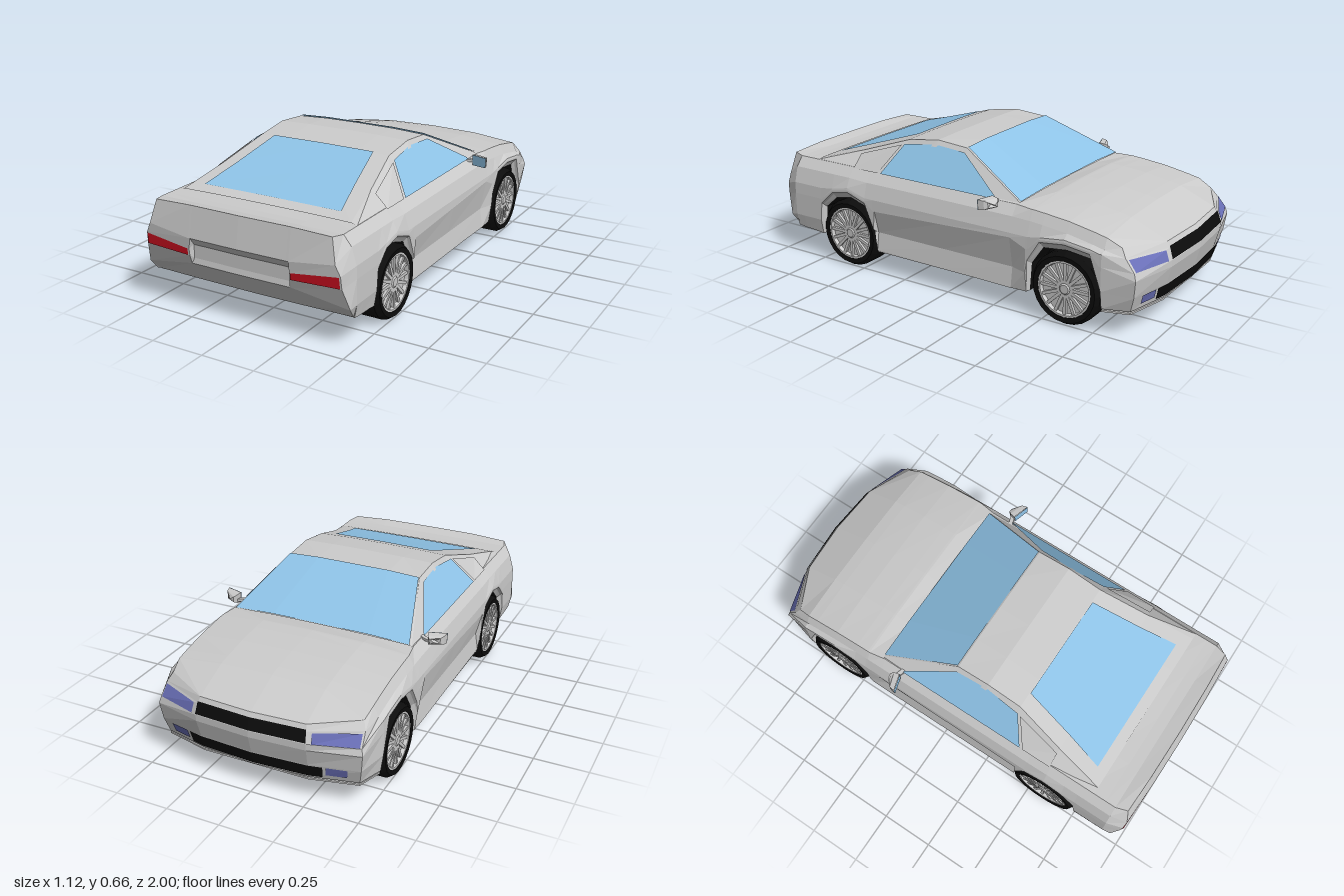
import * as THREE from 'three';

const mat = (color) => new THREE.MeshStandardMaterial({ color, flatShading: true, side: THREE.DoubleSide });
const lerp = (a, b, t) => a + (b - a) * t;
const flip = (p) => [-p[0], p[1], p[2]];

// Surface through a grid of points
function grid(rows) {
  const v = [];
  for (let i = 0; i + 1 < rows.length; i++)
    for (let j = 0; j + 1 < rows[i].length; j++) {
      const a = rows[i][j], b = rows[i + 1][j], c = rows[i + 1][j + 1], d = rows[i][j + 1];
      v.push(...a, ...b, ...c, ...a, ...c, ...d);
    }
  const g = new THREE.BufferGeometry();
  g.setAttribute('position', new THREE.Float32BufferAttribute(v, 3));
  g.computeVertexNormals();
  return g;
}

export function createModel() {
  const car = new THREE.Group();
  const grey = mat(0xcccccc), black = mat(0x0c0c0c), glass = mat(0x8fc4e8), red = mat(0xd01020), lamp = mat(0x6a70b8);

  const add = (name, geo, material, parent = car) => {
    const m = new THREE.Mesh(geo, material);
    m.name = name;
    parent.add(m);
    return m;
  };
  const pair = (name, rows, material) => {
    add('left' + name, grid(rows), material);
    add('right' + name, grid(rows.map((r) => r.map(flip).reverse())), material);
  };

  // Columns of the outer wall, bottom to shoulder, running from tail centre to nose centre
  const rear = [
    [[0, .14, .915], [0, .24, .98], [0, .265, .975], [0, .325, .975], [0, .36, 1], [0, .498, .975]],
    [[.24, .14, .912], [.24, .24, .977], [.24, .265, .972], [.24, .325, .972], [.24, .36, .997], [.24, .498, .972]],
    [[.25, .14, .912], [.25, .24, .977], [.25, .28, .99], [.25, .312, .993], [.25, .36, .997], [.25, .498, .972]],
    [[.492, .14, .905], [.505, .19, .95], [.485, .285, .98], [.482, .34, .985], [.46, .385, .988], [.435, .49, .965]],
  ];
  const front = [
    [[.46, .12, -.9], [.475, .19, -.92], [.485, .27, -.93], [.478, .3, -.92], [.472, .355, -.875], [.455, .39, -.85]],
    [[.25, .12, -.95], [.255, .19, -.965], [.26, .27, -.985], [.26, .3, -.985], [.255, .35, -.968], [.25, .375, -.955]],
    [[0, .12, -.965], [0, .19, -.98], [0, .27, -1], [0, .3, -1], [0, .35, -.985], [0, .375, -.97]],
  ];
  // z, lower edge, shoulder height, centre height of the lid
  const stations = [
    [.91, .14, .485, .486], [.86, .135, .485, .485], [.75, .13, .485, .49], [.74, .28, .485, .49],
    [.67, .345, .485, .488], [.575, .365, .485, .485], [.47, .33, .48, .48], [.42, .21, .48, .48],
    [.41, .115, .48, .48], [.03, .11, .48, .48], [-.34, .105, .478, .48], [-.42, .11, .475, .495],
    [-.43, .25, .475, .495], [-.49, .345, .47, .492], [-.61, .36, .457, .482], [-.73, .345, .435, .463],
    [-.775, .22, .425, .454], [-.785, .12, .423, .452],
  ];
  const side = stations.map(([z, b, s]) => {
    const door = z < .415 && z > -.4, sx = z < -.4 ? .465 : .452;
    const midY = Math.max(door ? lerp(.31, .345, (.41 - z) / .75) : .31, b + .02);
    return [
      [.5, b, z], [door ? .486 : .512, Math.max(.2, b + .01), z], [.512, midY, z],
      [.51, Math.max(.365, b + .03), z], [.488, Math.max(s - .045, b + .04), z], [sx, s, z],
    ];
  });
  const wall = [...rear, ...side, ...front];
  pair('BodySide', wall, grey);

  // Hood, belt and rear deck close the shoulder line
  const tops = (cols) => cols.map((c) => c[5]);
  pair('HoodAndDeck', [
    tops([rear[3], rear[2], rear[0]]),
    ...stations.map(([z, , s, c], i) => [side[i][5], [.25, lerp(s, c, .8), z], [0, c, z]]),
    tops(front),
  ], grey);

  // Panels laid on the wall, by fractional column and row
  const wallPoint = (c, r) => {
    const i = Math.min(Math.floor(c), wall.length - 2), j = Math.min(Math.floor(r), 4);
    return [0, 1, 2].map((k) => lerp(
      lerp(wall[i][j][k], wall[i][j + 1][k], r - j),
      lerp(wall[i + 1][j][k], wall[i + 1][j + 1][k], r - j), c - i) * (k === 1 ? 1 : 1.004));
  };
  const steps = (a, b) => {
    const s = [a];
    for (let i = Math.floor(a) + 1; i < b; i++) s.push(i);
    return [...s, b];
  };
  const patch = (name, c0, c1, r0, r1, m) =>
    pair(name, steps(c0, c1).map((c) => steps(r0, r1).map((r) => wallPoint(c, r))), m);
  const corner = rear.length + side.length;
  patch('TailLight', 2.02, 2.97, 2.05, 2.98, red);
  patch('Headlight', corner + .04, corner + .9, 3.05, 3.9, lamp);
  patch('UpperGrille', corner + 1, corner + 2, 3.1, 4.3, black);
  patch('LowerGrille', corner + .72, corner + 2, .15, .95, black);
  patch('FogLight', corner + .25, corner + .66, .35, .95, lamp);

  // Wheel arches: bevelled lip, then a dark liner
  for (const [name, first, last, cz] of [['RearArch', 2, 8, .575], ['FrontArch', 11, 17, -.61]]) {
    const lip = side.slice(first, last + 1).map(([[x, y, z]]) => [
      [x, y, z], [x - .015, y > .165 ? lerp(.165, y, .88) : y, lerp(cz, z, .95)],
    ]);
    pair(name + 'Lip', lip, grey);
    pair(name + 'Liner', lip.map(([, [x, y, z]]) => [[x, y, z], [.352, y, z], [.352, .13, z]]), black);
  }

  // Floor with notches for the wheels, rising to the tail, and the chassis between them
  const half = [
    [.49, .9], [.5, .75], [.36, .75], [.36, .41], [.498, .41], [.498, -.42],
    [.36, -.42], [.36, -.785], [.498, -.785], [.46, -.9], [.25, -.95],
  ];
  const outline = [...half, ...half.map(([x, z]) => [-x, z]).reverse()];
  const floor = new THREE.ExtrudeGeometry(
    new THREE.Shape(outline.map(([x, z]) => new THREE.Vector2(x, -z))), { depth: .008, bevelEnabled: false });
  floor.rotateX(-Math.PI / 2).translate(0, .106, 0);
  const fp = floor.attributes.position;
  for (let i = 0; i < fp.count; i++)
    fp.setY(i, fp.getY(i) + Math.max(0, fp.getZ(i) - .41) * .062);
  add('floor', floor, grey);
  add('chassis', new THREE.BoxGeometry(.7, .21, 1.6).translate(0, .24, -.06), grey);

  // Cabin: base, roof rail, roof centre at each station
  pair('Cabin', [
    [.8, .45, .485, .42, .49, .494], [.57, .455, .48, .38, .552, .558], [.33, .455, .48, .335, .63, .635],
    [.16, .455, .48, .335, .655, .66], [0, .455, .48, .335, .643, .652], [-.35, .447, .478, .44, .482, .49],
  ].map(([z, bx, by, rx, ry, cy]) => [[bx, by, z], [rx, ry, z], [rx * .55, lerp(ry, cy, .8), z], [0, cy, z]]), grey);

  // Windows
  add('windshield', grid([
    [[-.437, .487, -.352], [-.24, .495, -.352], [.24, .495, -.352], [.437, .487, -.352]],
    [[-.333, .648, -.005], [-.18, .655, -.005], [.18, .655, -.005], [.333, .648, -.005]],
  ]), glass);
  add('rearWindow', grid([
    [[-.345, .509, .75], [0, .511, .75], [.345, .509, .75]],
    [[-.305, .564, .57], [0, .565, .57], [.305, .564, .57]],
    [[-.26, .638, .335], [0, .64, .335], [.26, .638, .335]],
  ]), glass);
  const onSide = (z, y) => [.461 - (y - .48) * .727, y, z];
  pair('SideWindow', [
    [onSide(.41, .482), onSide(.335, .615)], [onSide(.165, .482), onSide(.165, .635)],
    [onSide(0, .482), onSide(0, .626)], [onSide(-.23, .482), onSide(-.23, .49)],
  ], glass);
  pair('QuarterPanel', [
    [[.46, .482, .57], [.402, .54, .57]], [[.46, .482, .425], [.366, .61, .35]],
  ], grey);

  // Wheels: tyre, rim dish, spokes and hub, outer face towards +x
  const lathe = (pts, n) => new THREE.LatheGeometry(pts.map((p) => new THREE.Vector2(...p)), n).rotateZ(-Math.PI / 2);
  const tyre = lathe([[.12, -.07], [.15, -.073], [.165, -.05], [.165, .05], [.15, .073], [.128, .07], [.122, .03]], 24);
  const rim = lathe([[0, -.05], [.12, -.05], [.122, .03], [.128, .068], [.119, .068], [.115, .05], [0, .05]], 24);
  const hub = lathe([[.026, .045], [.026, .062], [.02, .067], [0, .067]], 12);
  for (const [end, z] of [['rear', .575], ['front', -.61]])
    for (const [hand, s] of [['Left', 1], ['Right', -1]]) {
      const wheel = new THREE.Group();
      wheel.name = end + hand + 'Wheel';
      add('tyre', tyre, black, wheel);
      add('rim', rim, grey, wheel);
      add('hub', hub, grey, wheel);
      for (let i = 0; i < 16; i++) {
        const spoke = add('spoke', new THREE.BoxGeometry(.014, .1, .014).translate(.055, .07, 0), grey, wheel);
        spoke.rotation.x = (i / 16) * Math.PI * 2;
      }
      wheel.position.set(s * .437, .165, z);
      if (s < 0) wheel.rotation.y = Math.PI;
      car.add(wheel);
    }

  // Door mirrors: tapered shell, glass facing the rear, short stem
  const ring = (k, z) => [[.483, .455], [.558, .457], [.56, .505], [.48, .505], [.483, .455]]
    .map(([x, y]) => [lerp(.52, x, k), lerp(.48, y, k), z - (x - .48) * -.3]);
  pair('MirrorShell', [ring(1, -.235), ring(.85, -.262), ring(.55, -.275), ring(0, -.275)], grey);
  const g = ring(1, -.233);
  pair('MirrorGlass', [[g[0], g[1]], [g[3], g[2]]], glass);
  pair('MirrorStem', [[.447, .47, -.225], [.5, .465, -.245]].map(([x, y, z]) =>
    [[x, y, z], [x, y + .012, z], [x, y + .012, z - .02], [x, y, z - .02], [x, y, z]]), grey);

  return car;
}
